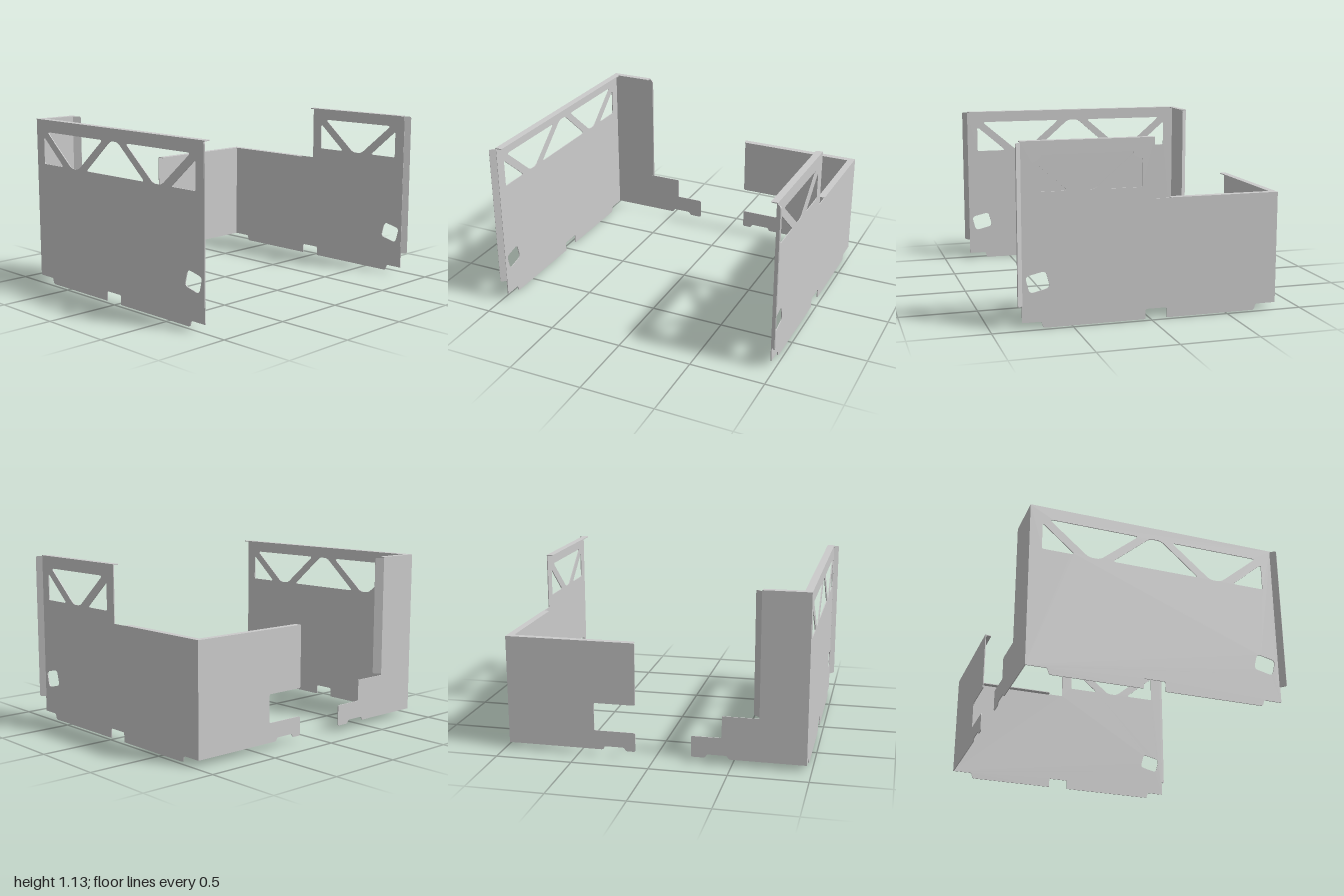
import * as THREE from 'three';

const T = 0.006; // sheet thickness
const material = new THREE.MeshStandardMaterial({ color: 0xcccccc });

// Closed outline through [x, y, radius] corners, each corner rounded
function rounded(path, pts, r) {
  const n = pts.length;
  pts.forEach((p, i) => {
    const c = new THREE.Vector2(p[0], p[1]);
    const toward = (q) => {
      const d = new THREE.Vector2(q[0], q[1]).sub(c);
      const len = d.length();
      return d.multiplyScalar(Math.min(p[2] ?? r, len * 0.48) / len).add(c);
    };
    const a = toward(pts[(i + n - 1) % n]);
    const b = toward(pts[(i + 1) % n]);
    if (i === 0) path.moveTo(a.x, a.y);
    else path.lineTo(a.x, a.y);
    if (a.distanceTo(b) > 1e-5) path.quadraticCurveTo(c.x, c.y, b.x, b.y);
  });
  path.closePath();
  return path;
}

function sheet(name, pts, holes = []) {
  const shape = rounded(new THREE.Shape(), pts, 0.012);
  shape.holes = holes.map((h) => rounded(new THREE.Path(), h, 0.028));
  const geometry = new THREE.ExtrudeGeometry(shape, { depth: T, bevelEnabled: false, curveSegments: 5 });
  const mesh = new THREE.Mesh(geometry, material);
  mesh.name = name;
  return mesh;
}

// Outline given as (z, y), standing on the x = -0.84 side
function sidePanel(name, pts) {
  const m = sheet(name, pts);
  m.rotation.y = -Math.PI / 2;
  m.position.x = -0.84 + T;
  return m;
}

// Outline given as (x, z), lying flat with its upper face at y
function topFlange(name, pts, y) {
  const m = sheet(name, pts);
  m.rotation.x = Math.PI / 2;
  m.position.y = y;
  return m;
}

// Upright strip bent off a panel edge at an angle
function edgeFlange(name, x, z, length, y0, y1, angle) {
  const m = sheet(name, [[0, y0, 0], [length, y0], [length, y1], [0, y1, 0]]);
  m.rotation.y = angle;
  m.position.set(x, 0, z);
  return m;
}

const mirror = (pts, axis) => pts.map(([x, y, r]) => [2 * axis - x, y, r]);

export function createModel() {
  const model = new THREE.Group();
  model.name = 'sheetMetalEnclosure';
  const MID = -0.0125;

  // Truss cut-outs and the tilted port
  const corner = [[-0.76, 1.015, 0.02], [-0.76, 0.83, 0.012], [-0.545, 0.83]];
  const trapezoid = [[-0.72, 1.05], [-0.46, 0.83], [-0.385, 0.83], [-0.125, 1.05]];
  const middle = [[-0.305, 0.83], [0.28, 0.83], [0.026, 1.05], [-0.051, 1.05]];
  const port = [[0.662, 0.352], [0.788, 0.323], [0.761, 0.217], [0.635, 0.247]];
  const rightCorner = mirror(corner, MID);
  const rightTrapezoid = mirror(trapezoid, MID);

  // Lower edge shared by both long panels
  const lowerEdge = [
    [-0.84, 0.04, 0], [-0.705, 0.04], [-0.695, 0, 0.015], [-0.108, 0, 0.005], [-0.108, 0.065],
    [0.032, 0.065], [0.032, 0, 0.005], [0.68, 0, 0.015], [0.69, 0.04], [0.81, 0.04, 0.004],
  ];

  // Front panel
  const front = sheet('frontPanel',
    [...lowerEdge, [0.81, 1.13, 0], [-0.84, 1.13, 0]],
    [corner, trapezoid, middle, rightTrapezoid, rightCorner, port]);
  front.position.z = 0.97 - T;

  // Back panel, full height on one half only
  const back = sheet('backPanel',
    [...lowerEdge, [0.81, 1.13, 0], [-0.02, 1.13, 0], [-0.02, 0.755, 0.004], [-0.84, 0.755, 0]],
    [mirror(rightCorner, 0.395), rightTrapezoid, rightCorner, port]);
  back.position.z = -0.97;

  model.add(
    front,
    back,
    // Side panels with stepped feet
    sidePanel('frontSidePanel', [
      [0.97, 0.04, 0], [0.48, 0.04], [0.47, 0.063], [0.34, 0.063], [0.33, 0.04], [0.24, 0.04],
      [0.24, 0.178], [0.435, 0.178], [0.435, 0.322, 0.005], [0.67, 0.322, 0.005],
      [0.67, 1.13, 0], [0.97, 1.13, 0],
    ]),
    sidePanel('backSidePanel', [
      [-0.97, 0.04, 0], [-0.335, 0.04], [-0.325, 0.063], [-0.195, 0.063], [-0.185, 0.04], [-0.122, 0.04],
      [-0.122, 0.166], [-0.393, 0.166], [-0.393, 0.35], [-0.122, 0.35],
      [-0.122, 0.755, 0], [-0.97, 0.755, 0],
    ]),
    // Inward top flanges, mitred at the corners
    topFlange('frontTopFlange',
      [[-0.84, 0.97, 0], [0.81, 0.97, 0], [0.81, 0.922], [-0.794, 0.922, 0]], 1.132),
    topFlange('frontSideTopFlange',
      [[-0.84, 0.97, 0], [-0.797, 0.925, 0], [-0.797, 0.672], [-0.84, 0.672, 0]], 1.132),
    topFlange('backTallTopFlange',
      [[-0.02, -0.97, 0], [0.81, -0.97, 0], [0.81, -0.925], [-0.02, -0.925]], 1.132),
    topFlange('backLowTopFlange',
      [[-0.84, -0.97, 0], [-0.13, -0.97, 0], [-0.13, -0.925], [-0.797, -0.925, 0]], 0.757),
    topFlange('backSideTopFlange',
      [[-0.84, -0.97, 0], [-0.797, -0.925, 0], [-0.797, -0.128], [-0.84, -0.128, 0]], 0.757),
    // Angled edge flanges
    edgeFlange('frontEdgeFlange', 0.81, 0.966, 0.045, 0.145, 1.125, -Math.PI / 4),
    edgeFlange('backEdgeFlange', 0.806, -0.97, 0.045, 0.145, 1.125, Math.PI / 4),
    edgeFlange('sideEdgeFlange', -0.84, 0.67, 0.058, 0.333, 1.125, Math.PI / 4),
  );
  return model;
}
